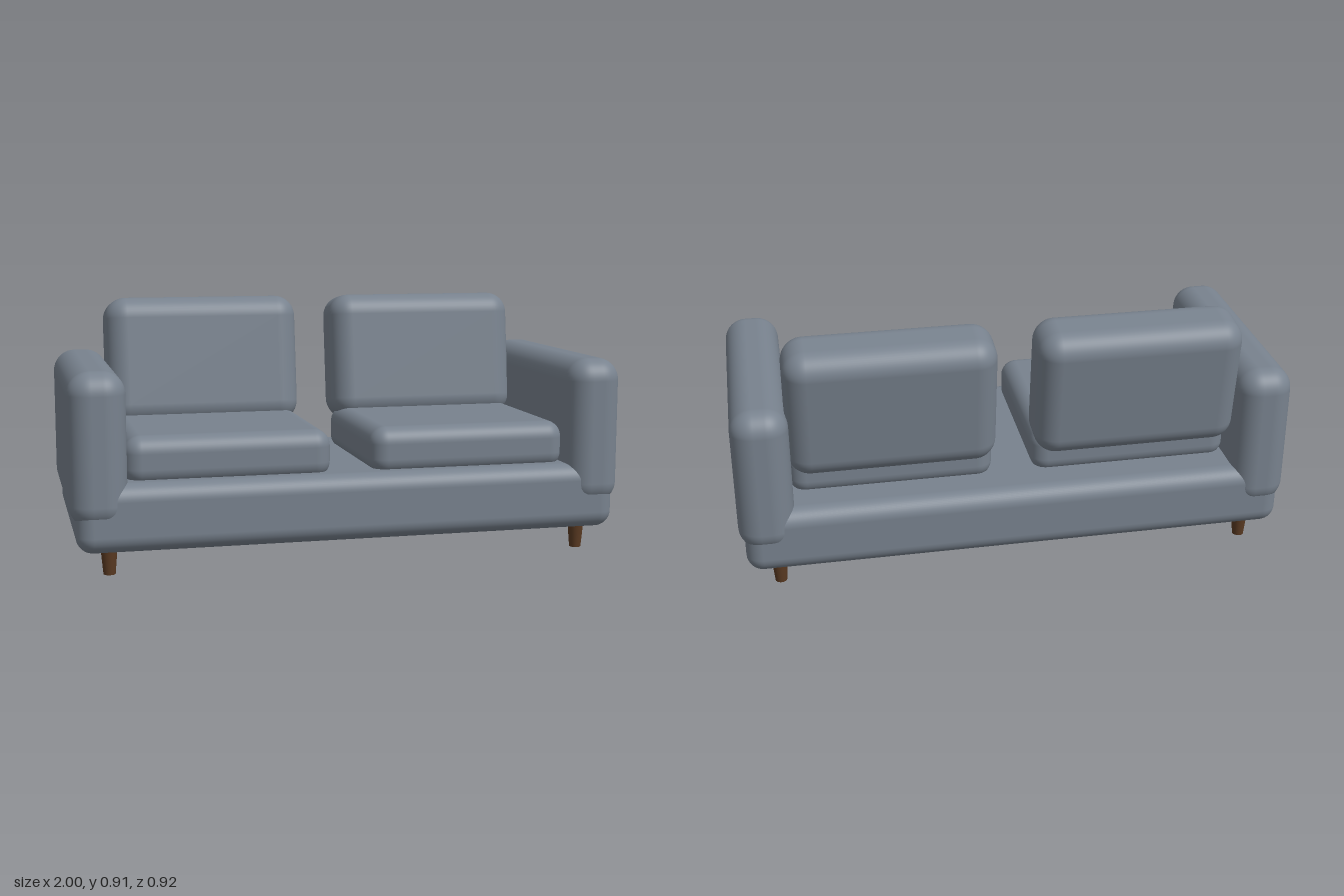
import * as THREE from 'three';
import { RoundedBoxGeometry } from 'three/addons/geometries/RoundedBoxGeometry.js';

export function createModel() {
  const sofa = new THREE.Group();
  sofa.name = 'sofa';

  const fabric = new THREE.MeshStandardMaterial({ color: 0x78828e });
  fabric.name = 'greyFabric';
  const wood = new THREE.MeshStandardMaterial({ color: 0x5a3a22 });
  wood.name = 'darkWood';

  const add = (name, geometry, material, x, y, z) => {
    const mesh = new THREE.Mesh(geometry, material);
    mesh.name = name;
    mesh.position.set(x, y, z);
    sofa.add(mesh);
    return mesh;
  };
  const padded = (w, h, d, r) => new RoundedBoxGeometry(w, h, d, 6, r);

  // Upholstered base
  add('base', padded(1.96, 0.24, 0.9, 0.06), fabric, 0, 0.205, 0);

  const armGeometry = padded(0.2, 0.538, 0.92, 0.08);
  const seatGeometry = padded(0.735, 0.175, 0.675, 0.06);
  const backGeometry = padded(0.74, 0.49, 0.235, 0.08);
  const legGeometry = new THREE.CylinderGeometry(0.03, 0.021, 0.1, 24);

  for (const [side, s] of [['left', 1], ['right', -1]]) {
    // Arm wraps over the end of the base
    add(side + 'Arm', armGeometry, fabric, s * 0.9, 0.441, 0);

    // Cushions, the back one leaning backwards
    add(side + 'SeatCushion', seatGeometry, fabric, s * 0.44, 0.3875, 0.0375);
    const back = add(side + 'BackCushion', backGeometry, fabric, s * 0.44, 0.665, -0.3);
    back.rotation.x = -0.13;

    // Tapered legs
    for (const [end, e] of [['Front', 1], ['Back', -1]]) {
      add(side + end + 'Leg', legGeometry, wood, s * 0.865, 0.05, e * 0.355);
    }
  }
  return sofa;
}
